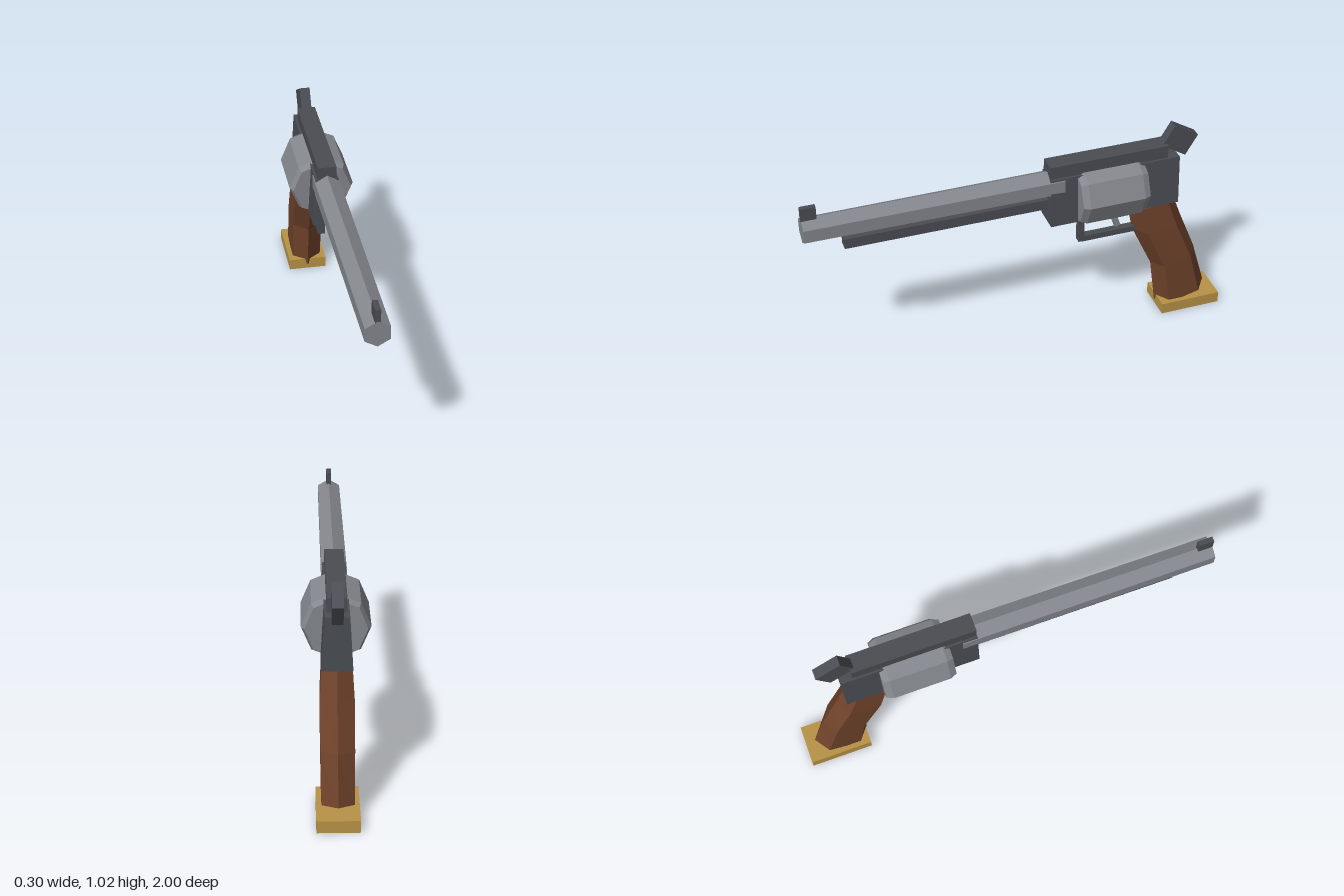
import * as THREE from 'three';

const paint = (color) => new THREE.MeshStandardMaterial({ color, flatShading: true });

export function createModel() {
  const group = new THREE.Group();
  const darkSteel = paint(0x4a4d53);
  const steel = paint(0x84878d);
  const wood = paint(0x70432b);
  const brass = paint(0xb99347);

  const add = (name, geometry, material) => {
    const mesh = new THREE.Mesh(geometry, material);
    mesh.name = name;
    group.add(mesh);
    return mesh;
  };
  // Box centred on x = 0, given its half width and its y and z ranges
  const block = (name, halfW, y0, y1, z0, z1, material = darkSteel) => {
    const mesh = add(name, new THREE.BoxGeometry(halfW * 2, y1 - y0, z1 - z0), material);
    mesh.position.set(0, (y0 + y1) / 2, (z0 + z1) / 2);
    return mesh;
  };

  // Hexagonal barrel with a ridge on top, its sight and the rod below
  const barrel = add('barrel', new THREE.CylinderGeometry(0.062, 0.066, 1.2, 6).rotateX(Math.PI / 2), steel);
  barrel.position.set(0, 0.827, 0.4);
  block('frontSight', 0.012, 0.88, 0.945, 0.93, 1);
  block('underRod', 0.026, 0.705, 0.755, -0.14, 0.82);

  // Frame, narrower towards the top
  const section = new THREE.Shape([
    [-0.067, 0.63], [0.067, 0.63], [0.053, 0.872], [-0.053, 0.872],
  ].map(([x, y]) => new THREE.Vector2(x, y)));
  add('frame', new THREE.ExtrudeGeometry(section, { depth: 0.63, bevelEnabled: false }), darkSteel).position.z = -0.76;
  block('topStrap', 0.043, 0.86, 0.935, -0.705, -0.131);

  // Eight-sided drum with chamfered ends
  const profile = [[0, -0.163], [0.136, -0.163], [0.15, -0.133], [0.15, 0.133], [0.136, 0.163], [0, 0.163]];
  const drum = add('drum', new THREE.LatheGeometry(profile.map(([r, y]) => new THREE.Vector2(r, y)), 8).rotateX(Math.PI / 2), steel);
  drum.position.set(0, 0.746, -0.424);

  // Hammer, tilted back
  const hammer = add('hammer', new THREE.BoxGeometry(0.048, 0.113, 0.137), darkSteel);
  hammer.position.set(0, 0.94, -0.77);
  hammer.rotation.x = -0.54;

  // Trigger and guard
  block('guardPost', 0.0175, 0.477, 0.64, -0.314, -0.286);
  block('guardBar', 0.0175, 0.475, 0.504, -0.58, -0.305);
  const trigger = add('trigger', new THREE.BoxGeometry(0.02, 0.13, 0.028), steel);
  trigger.position.set(0, 0.58, -0.462);
  trigger.rotation.x = 0.36;

  // Grip: six-sided rings [half width, front y, front z, rear y, rear z] from top to bottom
  const rings = [
    [0.065, 0.617, -0.53, 0.64, -0.757],
    [0.073, 0.475, -0.565, 0.505, -0.808],
    [0.073, 0.257, -0.667, 0.31, -0.888],
    [0.07, 0.025, -0.699, 0.09, -0.953],
  ].map(([w, yf, zf, yr, zr]) =>
    [[0, 0], [w, 0.2], [w, 0.8], [0, 1], [-w, 0.8], [-w, 0.2]].map(([x, t]) =>
      [x, yf + (yr - yf) * t, zf + (zr - zf) * t]));
  const corners = [];
  for (let r = 0; r < 3; r++) {
    for (let i = 0; i < 6; i++) {
      const j = (i + 1) % 6;
      const [a, b, c, d] = [rings[r][i], rings[r][j], rings[r + 1][j], rings[r + 1][i]];
      corners.push(a, d, c, a, c, b);
    }
  }
  for (let i = 1; i < 5; i++) {
    corners.push(rings[0][0], rings[0][i], rings[0][i + 1]);
    corners.push(rings[3][0], rings[3][i + 1], rings[3][i]);
  }
  const gripGeometry = new THREE.BufferGeometry();
  gripGeometry.setAttribute('position', new THREE.Float32BufferAttribute(corners.flat(), 3));
  gripGeometry.computeVertexNormals();
  add('grip', gripGeometry, wood);

  // Plate under the grip
  block('buttPlate', 0.093, 0, 0.056, -1, -0.703, brass);

  return group;
}
